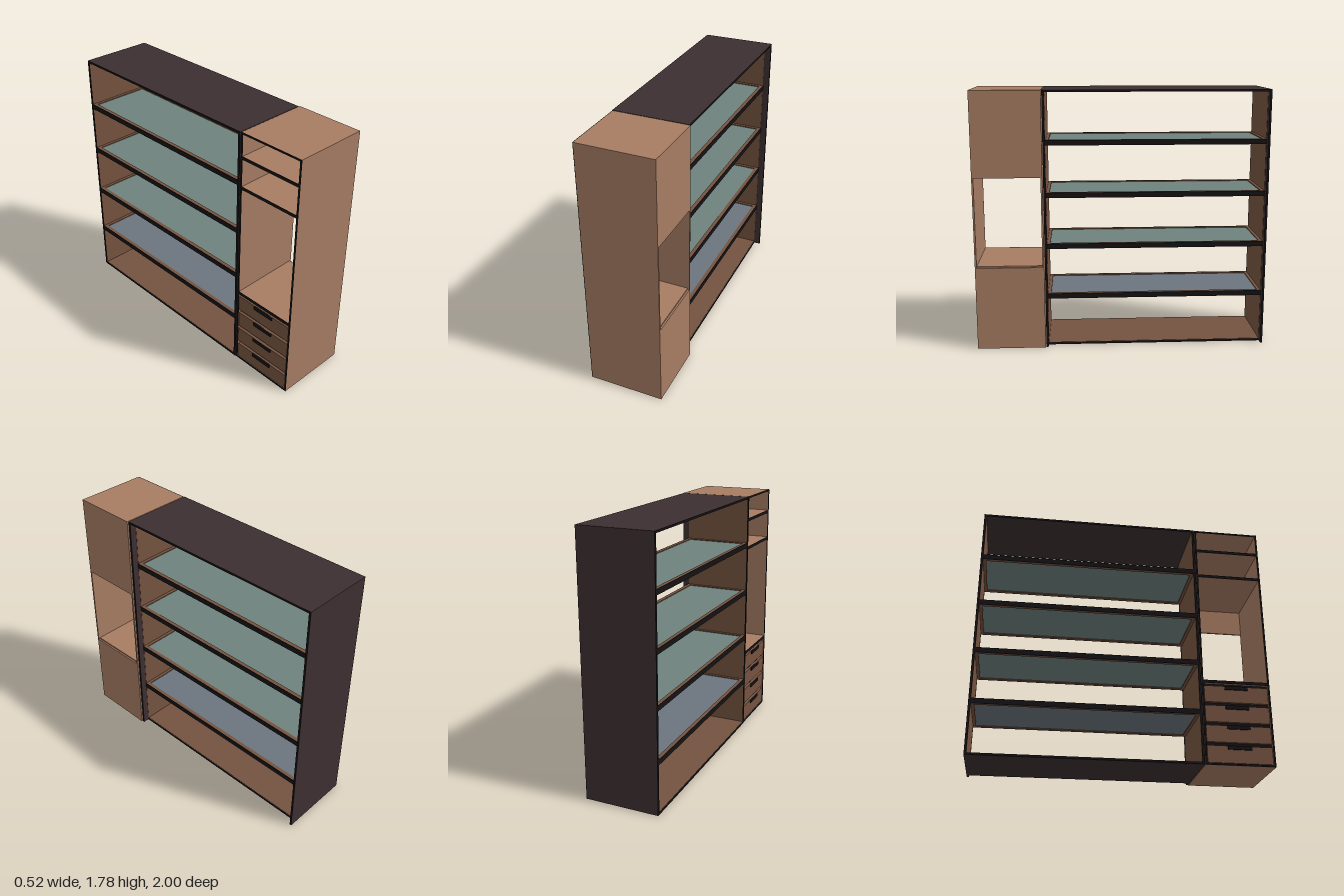
import * as THREE from 'three';

const mat = (color) => new THREE.MeshStandardMaterial({ color });

export function createModel() {
  const root = new THREE.Group();
  root.name = 'shelvingUnit';
  const wood = mat(0xa67c62), brown = mat(0x74523f), dark = mat(0x3d2f31);
  const black = mat(0x151214), greenGlass = mat(0x6f827d), blueGlass = mat(0x6b747d);

  // Box given by its low and high limits on each axis
  function slab(parent, name, material, x0, x1, y0, y1, z0, z1) {
    const mesh = new THREE.Mesh(new THREE.BoxGeometry(x1 - x0, y1 - y0, z1 - z0), material);
    mesh.position.set((x0 + x1) / 2, (y0 + y1) / 2, (z0 + z1) / 2);
    mesh.name = name;
    parent.add(mesh);
    return mesh;
  }
  function group(name) {
    const g = new THREE.Group();
    g.name = name;
    root.add(g);
    return g;
  }

  const H = 1.78, T = 0.014;

  // Long open bookcase: dark shell, brown lining, black edging
  const caseGroup = group('bookcase');
  const cx0 = -0.26, cx1 = 0.25, inset = 0.205, cz0 = -1, cz1 = 0.525;
  slab(caseGroup, 'caseTop', dark, cx0, cx1, H - T, H, cz0, cz1);
  slab(caseGroup, 'caseBottom', dark, cx0, inset, 0, T, cz0 + T, cz1 - T);
  slab(caseGroup, 'floorLining', brown, cx0, inset - 0.003, T, T + 0.002, cz0 + T, cz1 - T);
  for (const [z, s, name] of [[cz0, 1, 'far'], [cz1, -1, 'near']]) {
    const span = (a, b) => [Math.min(z + s * a, z + s * b), Math.max(z + s * a, z + s * b)];
    slab(caseGroup, name + 'SidePanel', dark, cx0, cx1, 0, H - T, ...span(0, T));
    slab(caseGroup, name + 'SideLining', brown, cx0, inset, T, H - T, ...span(T, T + 0.002));
    slab(caseGroup, name + 'SideEdging', black, cx0 - 0.004, cx0, 0, H, ...span(0, T + 0.002));
    slab(caseGroup, name + 'BackEdging', black, cx1, cx1 + 0.002, 0, H, ...span(0, T));
  }
  for (const y of [0, H - T]) {
    slab(caseGroup, 'horizontalEdging', black, cx0 - 0.004, cx0, y, y + T, cz0 + T, cz1 - T);
    const x = y ? cx1 : inset;
    slab(caseGroup, 'horizontalEdging', black, x, x + 0.002, y, y + T, cz0 + T, cz1 - T);
  }

  // Four framed shelves with glass inlays
  const sz0 = cz0 + T, sz1 = cz1 - T, rail = 0.024;
  [0.34, 0.697, 1.053, 1.41].forEach((y, i) => {
    const shelf = group('glassShelf' + (i + 1));
    const y1 = y + 0.036;
    slab(shelf, 'frontRail', brown, cx0, cx0 + rail, y, y1, sz0, sz1);
    slab(shelf, 'backRail', brown, inset - rail, inset, y, y1, sz0, sz1);
    slab(shelf, 'endRail', brown, cx0 + rail, inset - rail, y, y1, sz0, sz0 + rail);
    slab(shelf, 'endRail', brown, cx0 + rail, inset - rail, y, y1, sz1 - rail, sz1);
    slab(shelf, 'frontEdging', black, cx0 - 0.004, cx0, y, y1, sz0, sz1);
    slab(shelf, 'backEdging', black, inset, inset + 0.004, y, y1, sz0, sz1);
    slab(shelf, 'glass', i ? greenGlass : blueGlass,
      cx0 + rail, inset - rail, y + 0.006, y1 - 0.006, sz0 + rail, sz1 - rail);
  });

  // Wooden tower with a see-through opening in the middle
  const tower = group('tower');
  const tx0 = -0.256, tx1 = 0.26, z0 = 0.53, z1 = 1, W = 0.012;
  slab(tower, 'frontPanel', wood, tx0, tx1, 0, H, z1 - W, z1);
  slab(tower, 'innerPanel', wood, tx0, tx1, 0, H, z0, z0 + W);
  const a = z0 + W, b = z1 - W;
  slab(tower, 'towerTop', wood, tx0, tx1, H - W, H, a, b);
  slab(tower, 'towerBottom', wood, tx0, tx1, 0, W, a, b);
  slab(tower, 'upperClosingPanel', wood, tx1 - W, tx1, 1.2, H - W, a, b);
  slab(tower, 'lowerClosingPanel', wood, tx1 - W, tx1, W, 0.58, a, b);
  for (const [y, h] of [[0.57, 0.02], [1.39, 0.02], [1.6, 0.02]]) {
    slab(tower, 'towerShelf', wood, tx0, tx1 - W, y, y + h, a, b);
    slab(tower, 'shelfEdging', black, tx0 - 0.004, tx0, y, y + h, a, b);
  }
  for (const [p, q] of [[z0, a], [b, z1]])
    slab(tower, 'uprightEdging', black, tx0 - 0.004, tx0, 0, H, p, q);
  for (const y of [0, H - W])
    slab(tower, 'crossEdging', black, tx0 - 0.004, tx0, y, y + W, a, b);

  // Drawer stack with dark finger gaps and pulls
  const drawers = group('drawers');
  const n = 4, step = (0.57 - W) / n, mid = (z0 + z1) / 2;
  slab(drawers, 'drawerBody', black, tx0 + 0.02, tx1 - W, W, 0.57, a, b);
  for (let i = 0; i < n; i++) {
    const y = W + i * step;
    slab(drawers, 'drawerFront', brown, tx0, tx0 + 0.02, y + 0.004, y + step - 0.02, a + 0.004, b - 0.004);
    slab(drawers, 'drawerPull', black, tx0 - 0.008, tx0 + 0.005, y + step - 0.045, y + step - 0.02, mid - 0.08, mid + 0.08);
  }
  return root;
}
